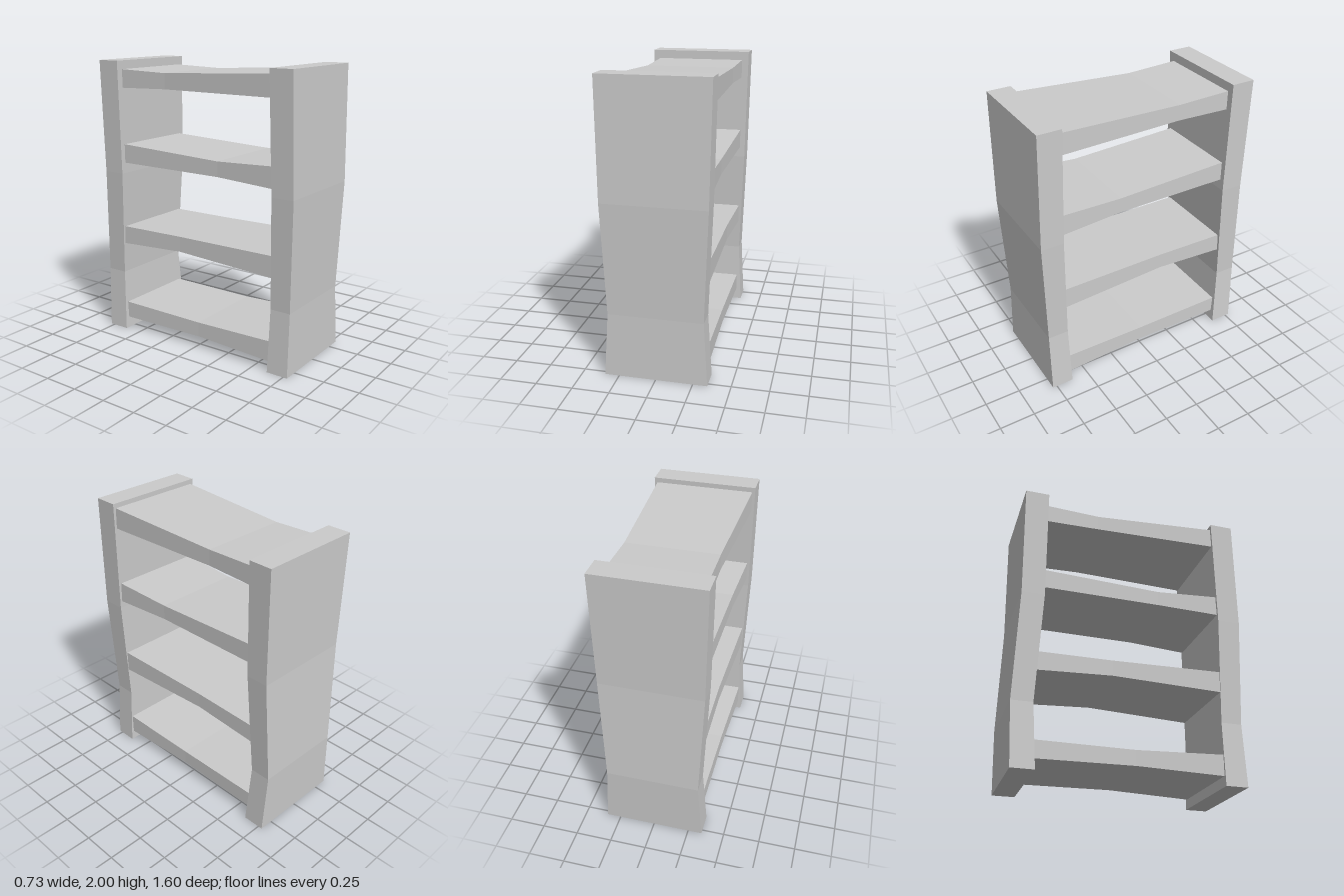
import * as THREE from 'three';

const material = new THREE.MeshStandardMaterial({ color: 0xcccccc, flatShading: true });

// Box made of quad rings; each ring is four corners, bent to follow the list
function loft(name, rings, corner) {
  const geometry = new THREE.BoxGeometry(2, rings.length - 1, 2, 1, rings.length - 1, 1);
  const p = geometry.attributes.position;
  for (let i = 0; i < p.count; i++) {
    const ring = rings[Math.round(p.getY(i) + (rings.length - 1) / 2)];
    p.setXYZ(i, ...corner(ring, p.getX(i), p.getZ(i)));
  }
  geometry.computeVertexNormals();
  const mesh = new THREE.Mesh(geometry, material);
  mesh.name = name;
  return mesh;
}

// Upright: rings of [height, half width, low z, high z]
const upright = (name, rings) =>
  loft(name, rings, ([y, w, z0, z1], sx, sz) => [sx * w, y, sz > 0 ? z1 : z0]);

// Shelf: rings of [z, half width, bottom, top], running from back to front
const shelf = (name, rings) =>
  loft(name, rings, ([z, w, y0, y1], sx, sz) => [sx * w, sz < 0 ? y1 : y0, z]);

export function createModel() {
  const group = new THREE.Group();
  group.name = 'shelfRack';

  // Warped end boards
  group.add(upright('frontUpright', [
    [0, 0.347, 0.625, 0.78], [0.44, 0.32, 0.63, 0.775],
    [1.2, 0.35, 0.64, 0.8], [2, 0.364, 0.62, 0.785],
  ]));
  group.add(upright('backUpright', [
    [0, 0.347, -0.78, -0.625], [0.44, 0.32, -0.797, -0.65],
    [1.2, 0.35, -0.772, -0.615], [2, 0.364, -0.785, -0.62],
  ]));

  // Four uneven planks between the boards
  const shelves = [
    [[-0.65, 0.31, 0.08, 0.2], [0.03, 0.31, 0.09, 0.195], [0.64, 0.325, 0.07, 0.215]],
    [[-0.66, 0.314, 0.664, 0.795], [-0.13, 0.308, 0.69, 0.8], [0.65, 0.325, 0.658, 0.808]],
    [[-0.64, 0.315, 1.275, 1.41], [0.2, 0.315, 1.27, 1.375], [0.66, 0.335, 1.25, 1.396]],
    [[-0.64, 0.315, 1.81, 1.94], [-0.24, 0.31, 1.82, 1.928], [0.64, 0.344, 1.82, 1.967]],
  ];
  shelves.forEach((rings, i) => group.add(shelf(`shelf${i + 1}`, rings)));

  return group;
}
